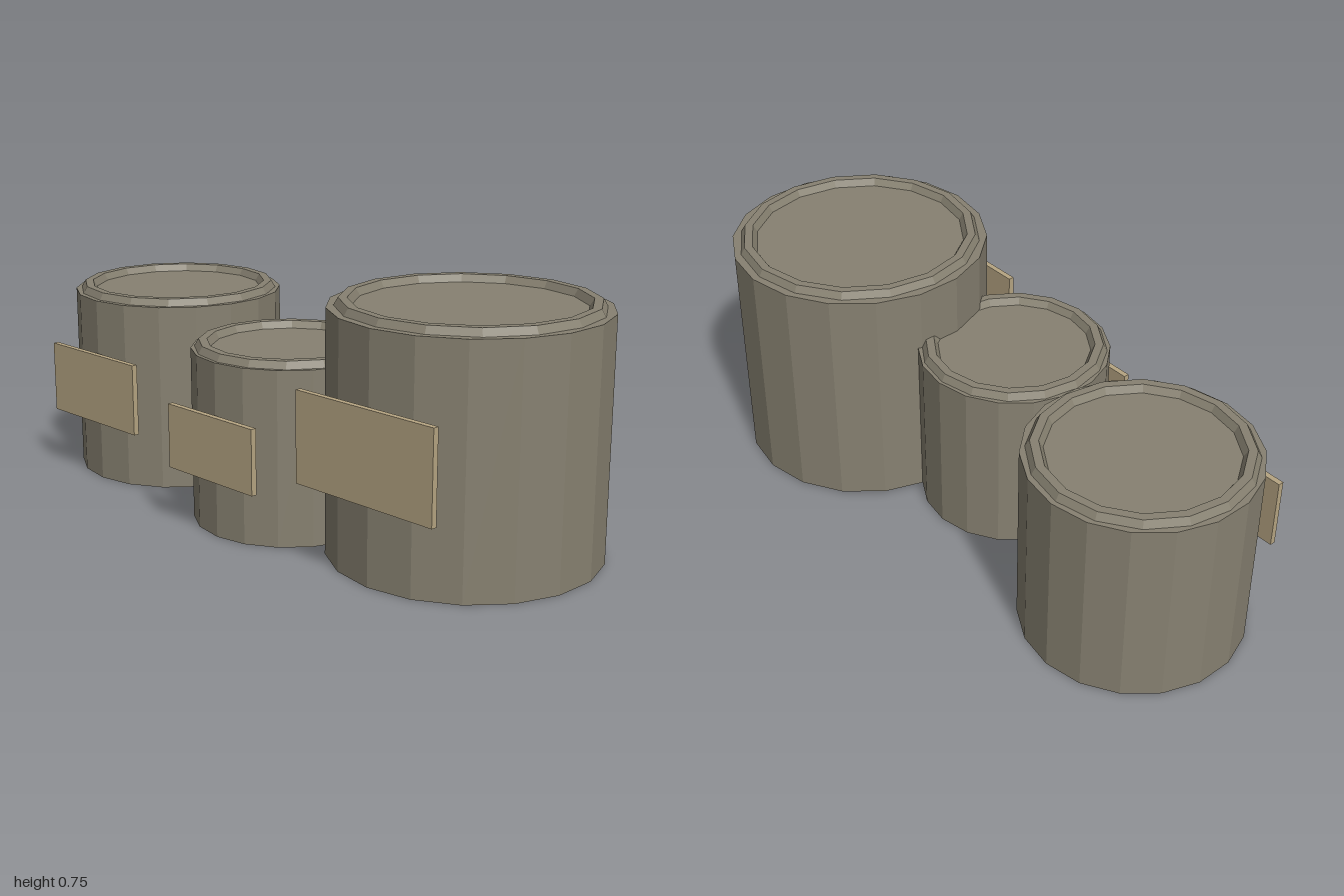
import * as THREE from 'three';

export function createModel() {
  const model = new THREE.Group();

  const canMaterial = new THREE.MeshStandardMaterial({ color: 0x878171, flatShading: true });
  canMaterial.name = 'dull grey metal';
  const labelMaterial = new THREE.MeshStandardMaterial({ color: 0xb5a482, flatShading: true });
  labelMaterial.name = 'tan paper';

  function addPart(parent, name, geometry, material, x, y, z) {
    const mesh = new THREE.Mesh(geometry, material);
    mesh.name = name;
    mesh.position.set(x, y, z);
    parent.add(mesh);
    return mesh;
  }

  // One can: 18-sided body, raised rim on top, label plate floating just ahead of the front
  function addCan(name, x, z, radius, height, labelY) {
    const can = new THREE.Group();
    can.name = name;
    can.position.set(x, 0, z);

    addPart(can, 'body', new THREE.CylinderGeometry(radius, radius, height, 18),
      canMaterial, 0, height / 2, 0);

    const rim = addPart(can, 'rim', new THREE.TorusGeometry(radius * 0.88, 0.0255, 6, 16),
      canMaterial, 0, height, 0);
    rim.rotation.x = Math.PI / 2;

    addPart(can, 'label', new THREE.BoxGeometry(radius * 1.25, radius * 0.67, 0.018),
      labelMaterial, 0, labelY, radius + 0.017);

    model.add(can);
  }

  addCan('rightCan', -0.664, -0.015, 0.341, 0.599, 0.313);
  addCan('middleCan', 0.02, 0.115, 0.2975, 0.535, 0.28);
  addCan('leftCan', 0.6, -0.034, 0.406, 0.728, 0.381);

  return model;
}
